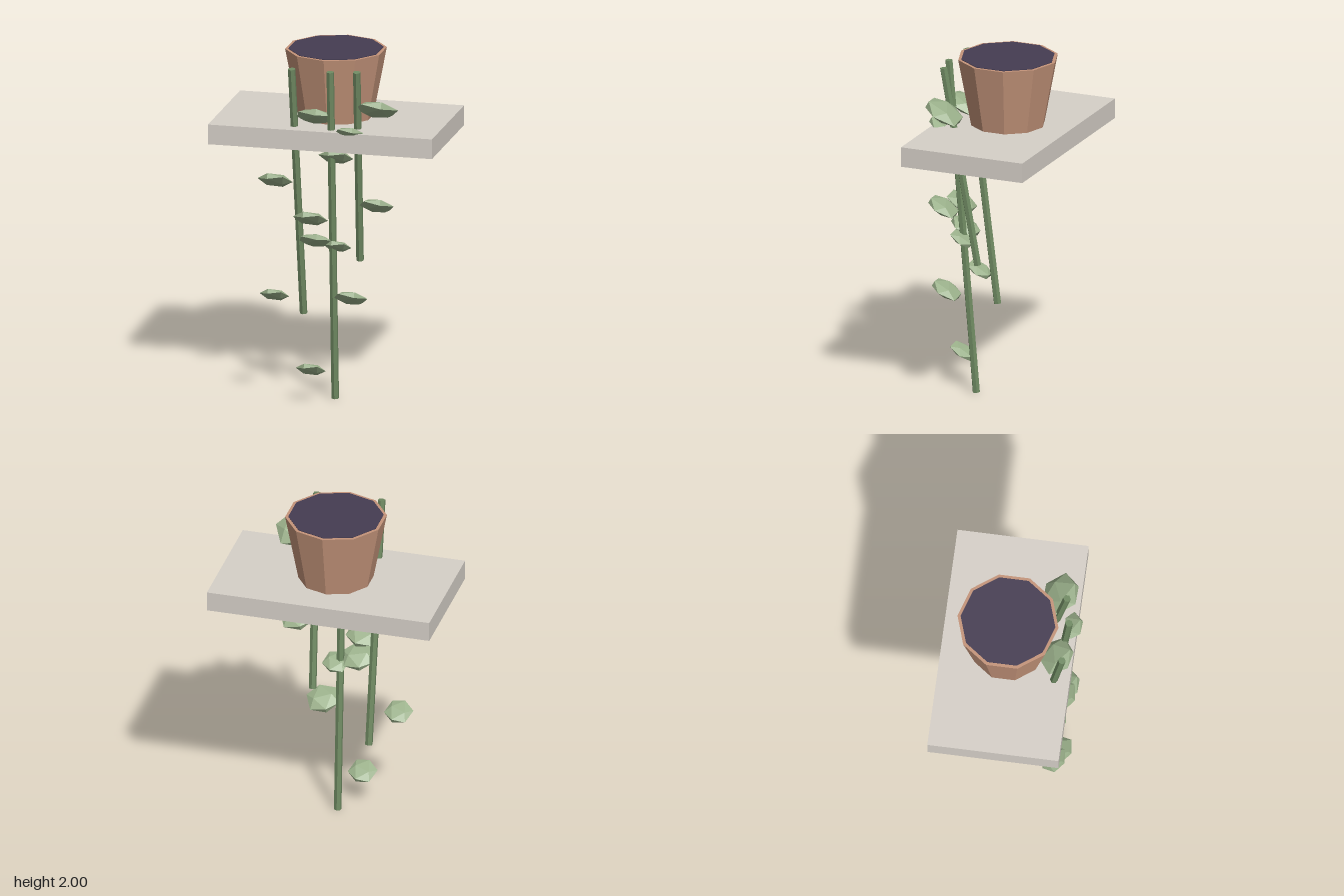
import * as THREE from 'three';

const mat = (color) => new THREE.MeshStandardMaterial({ color, flatShading: true });

export function createModel() {
  const group = new THREE.Group();
  group.name = 'trailingPlantOnShelf';

  const shelfMat = mat(0xd6d0c8);
  const potMat = mat(0xc4947a);
  const soilMat = mat(0x453c52);
  const stemMat = mat(0x6f8a62);
  const leafMat = mat(0x9ab08a);

  const add = (name, geometry, material, x, y, z) => {
    const mesh = new THREE.Mesh(geometry, material);
    mesh.name = name;
    mesh.position.set(x, y, z);
    group.add(mesh);
    return mesh;
  };

  // Shelf board
  add('shelf', new THREE.BoxGeometry(1.3, 0.115, 0.745), shelfMat, 0, 1.548, -0.022);

  // Ten-sided pot with the soil just level with its rim
  add('pot', new THREE.CylinderGeometry(0.287, 0.212, 0.392, 10), potMat, 0, 1.801, -0.022);
  add('soil', new THREE.CylinderGeometry(0.269, 0.26, 0.04, 10), soilMat, 0, 1.98, -0.022);

  // Straight hanging stems: top point, bottom point
  const stems = [
    [[-0.175, 1.95, 0.307], [-0.155, 0.475, 0.11]],
    [[0.052, 1.95, 0.318], [0.04, 0.003, 0.155]],
    [[0.198, 1.95, 0.287], [0.168, 0.8, 0.091]],
  ];
  const up = new THREE.Vector3(0, 1, 0);
  for (const [a, b] of stems) {
    const top = new THREE.Vector3(...a);
    const bottom = new THREE.Vector3(...b);
    const dir = top.clone().sub(bottom);
    const mid = top.clone().add(bottom).multiplyScalar(0.5);
    const stem = add('stem', new THREE.CylinderGeometry(0.022, 0.022, dir.length(), 6), stemMat, mid.x, mid.y, mid.z);
    stem.quaternion.setFromUnitVectors(up, dir.normalize());
  }

  // Leaves: flattened faceted pebbles, front edge lifted [x, y, z, radius, turn]
  const leaves = [
    [0.302, 1.725, 0.238, 0.127, 0.44],
    [-0.05, 1.67, 0.262, 0.115, 0.25],
    [0.162, 1.597, 0.31, 0.09, 0.4],
    [0.065, 1.435, 0.24, 0.1, -0.3],
    [-0.28, 1.285, 0.27, 0.1, -0.35],
    [-0.07, 1.08, 0.292, 0.1, -0.3],
    [0.302, 1.165, 0.242, 0.103, 0.44],
    [-0.05, 0.945, 0.26, 0.1, 0.3],
    [0.07, 0.91, 0.228, 0.08, -0.3],
    [-0.283, 0.617, 0.275, 0.084, -0.35],
    [0.162, 0.628, 0.284, 0.1, 0.44],
    [-0.07, 0.197, 0.284, 0.085, -0.35],
  ];
  const leafGeo = new THREE.IcosahedronGeometry(1, 0).scale(1, 0.32, 1);
  for (const [x, y, z, r, turn] of leaves) {
    const leaf = add('leaf', leafGeo, leafMat, x, y, z);
    leaf.scale.setScalar(r);
    leaf.rotation.set(-0.52, turn, 0);
  }

  return group;
}
